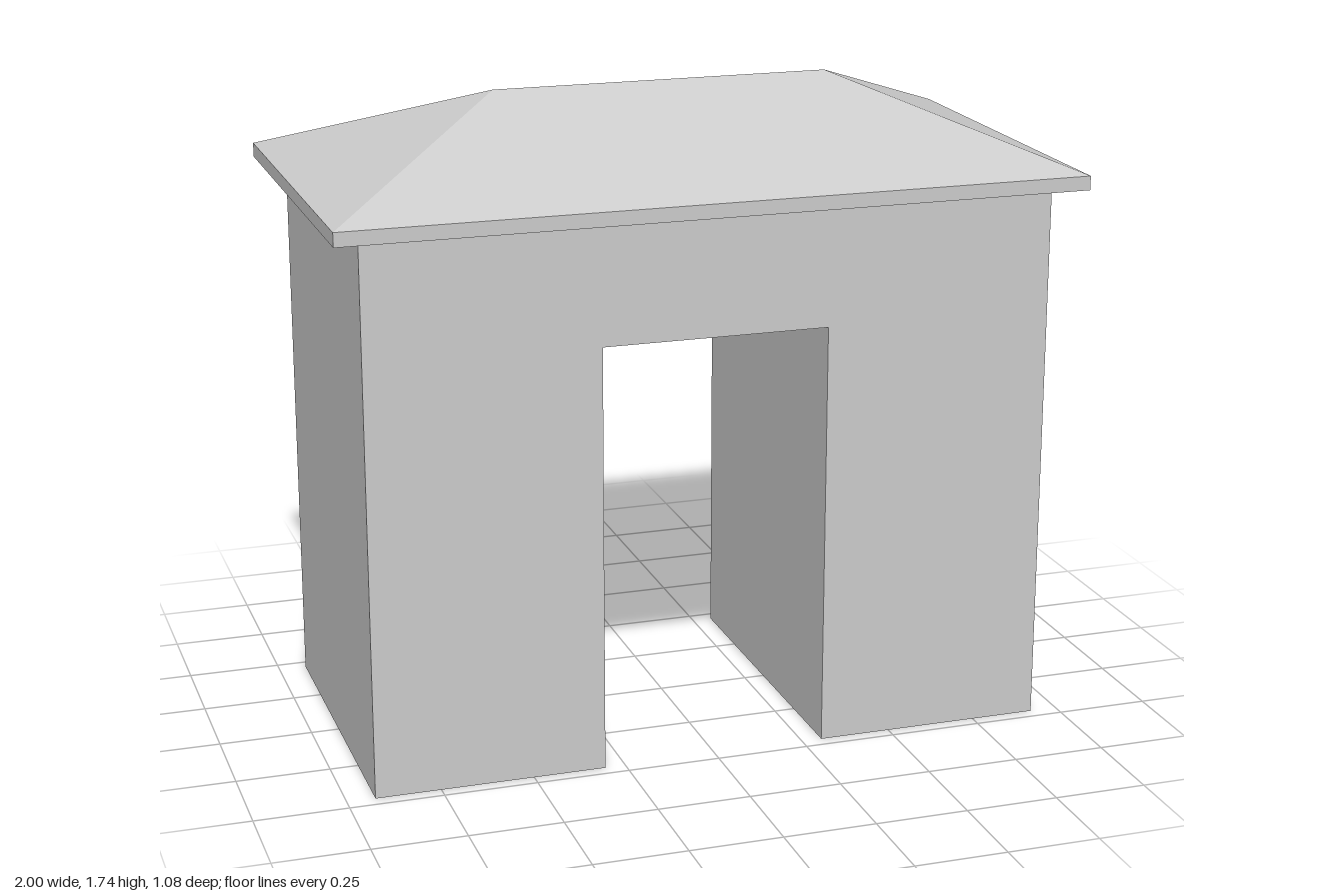
import * as THREE from 'three';

const material = new THREE.MeshStandardMaterial({ color: 0xcccccc, flatShading: true });

// Box placed by its centre x and bottom y
function box(name, width, height, depth, x, bottom) {
  const mesh = new THREE.Mesh(new THREE.BoxGeometry(width, height, depth), material);
  mesh.name = name;
  mesh.position.set(x, bottom + height / 2, 0);
  return mesh;
}

// Hipped roof: rectangular eaves rising to a shorter ridge along x
function hipGeometry(halfWidth, halfDepth, halfRidge, height) {
  const corners = [
    [-halfWidth, 0, halfDepth], [halfWidth, 0, halfDepth],
    [halfWidth, 0, -halfDepth], [-halfWidth, 0, -halfDepth],
    [-halfRidge, height, 0], [halfRidge, height, 0],
  ];
  const faces = [
    0, 1, 5, 0, 5, 4, // front slope
    2, 3, 4, 2, 4, 5, // back slope
    1, 2, 5, 3, 0, 4, // hip ends
    0, 3, 2, 0, 2, 1, // underside
  ];
  const geometry = new THREE.BufferGeometry();
  const positions = faces.flatMap((i) => corners[i]);
  geometry.setAttribute('position', new THREE.Float32BufferAttribute(positions, 3));
  geometry.computeVertexNormals();
  return geometry;
}

export function createModel() {
  const group = new THREE.Group();
  group.name = 'gatehouse';

  const wallTop = 1.487, eavesTop = 1.525, ridgeTop = 1.74;
  const depth = 0.93, lintelBottom = 1.157;

  // Two solid piers beside the passage
  group.add(box('leftPier', 0.62, wallTop, depth, 0.615, 0));
  group.add(box('rightPier', 0.62, wallTop, depth, -0.615, 0));

  // Lintel spanning the passage, flush with the piers
  group.add(box('lintel', 0.61, wallTop - lintelBottom, depth, 0, lintelBottom));

  // Overhanging eaves slab and hipped roof
  group.add(box('eavesSlab', 2, eavesTop - wallTop, 1.075, 0, wallTop));
  const roof = new THREE.Mesh(hipGeometry(1, 0.5375, 0.46, ridgeTop - eavesTop), material);
  roof.name = 'hippedRoof';
  roof.position.y = eavesTop;
  group.add(roof);

  return group;
}
